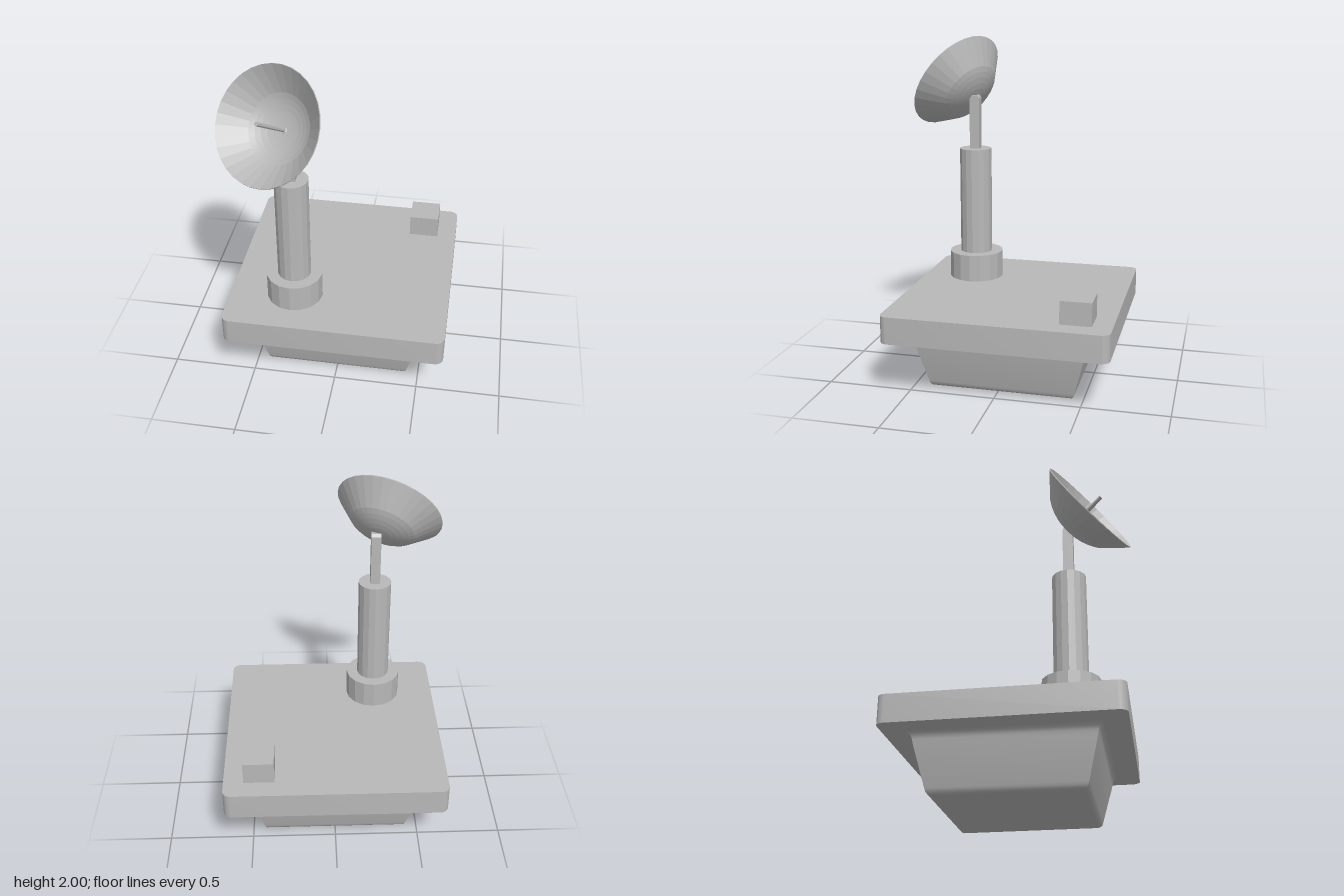
import * as THREE from 'three';
import { toCreasedNormals } from 'three/addons/utils/BufferGeometryUtils.js';

export function createModel() {
  const model = new THREE.Group();
  const grey = new THREE.MeshStandardMaterial({ color: 0xb8b8b8 });
  grey.name = 'plain grey';

  const add = (name, geometry, x, y, z, parent = model) => {
    const mesh = new THREE.Mesh(geometry, grey);
    mesh.name = name;
    mesh.position.set(x, y, z);
    parent.add(mesh);
    return mesh;
  };
  const points = (list) => list.map(([x, y]) => new THREE.Vector2(x, y));
  const flat = (geometry) => toCreasedNormals(geometry, 0.1);

  const slabZ = -0.022;

  // Platform slab with rounded vertical corners
  const h = 0.652, r = 0.05;
  const outline = new THREE.Shape();
  outline.absarc(h - r, h - r, r, 0, Math.PI / 2);
  outline.absarc(r - h, h - r, r, Math.PI / 2, Math.PI);
  outline.absarc(r - h, r - h, r, Math.PI, Math.PI * 1.5);
  outline.absarc(h - r, r - h, r, Math.PI * 1.5, Math.PI * 2);
  const slab = new THREE.ExtrudeGeometry(outline, { depth: 0.16, bevelEnabled: false, curveSegments: 6 });
  slab.rotateX(-Math.PI / 2);
  add('platform', toCreasedNormals(slab, 0.6), 0, 0.33, slabZ);

  // Tapered square hull: half-width profile swept round four sides
  const profile = points([
    [0, 0], [0.385, 0], [0.402, 0.003], [0.415, 0.01], [0.424, 0.021], [0.43, 0.04],
    [0.487, 0.265], [0.491, 0.29], [0.498, 0.309], [0.509, 0.321], [0.522, 0.328], [0.54, 0.331],
  ]);
  profile.forEach((p) => { p.x *= Math.SQRT2; });
  const hull = new THREE.LatheGeometry(profile, 4, Math.PI / 4);
  add('hull', toCreasedNormals(hull, 0.6), 0, 0, slabZ);

  // Small box on the back corner
  add('equipmentBox', new THREE.BoxGeometry(0.18, 0.135, 0.18), 0.445, 0.5575, -0.47);

  // Mast: collar, column and square post
  const mastX = -0.267, mastZ = 0.312;
  add('mastCollar', flat(new THREE.CylinderGeometry(0.167, 0.167, 0.165, 16)), mastX, 0.5725, mastZ);
  add('mastColumn', flat(new THREE.CylinderGeometry(0.099, 0.099, 0.655, 16)), mastX, 0.9825, mastZ);
  const post = new THREE.Shape(points([
    [-0.03, 0], [0.03, 0], [0.03, 0.315], [0.018, 0.332], [-0.018, 0.332], [-0.03, 0.315],
  ]));
  const postGeometry = new THREE.ExtrudeGeometry(post, { depth: 0.058, bevelEnabled: false });
  postGeometry.translate(0, 0, -0.029).rotateY(Math.PI / 2);
  add('mastPost', postGeometry, mastX, 1.308, mastZ);

  // Dish assembly, origin at the rim centre with its axis along local +y
  const dish = new THREE.Group();
  dish.name = 'dish';
  dish.position.set(-0.355, 1.72, 0.457);
  dish.quaternion.setFromUnitVectors(
    new THREE.Vector3(0, 1, 0), new THREE.Vector3(-0.38, 0.54, 0.755).normalize());
  model.add(dish);

  // Bowl: outer skin up to the rim, then inner skin back to the axis
  const bowl = new THREE.LatheGeometry(points([
    [0, -0.19], [0.035, -0.188], [0.07, -0.184], [0.105, -0.176], [0.14, -0.164],
    [0.17, -0.15], [0.2, -0.132], [0.265, -0.068], [0.33, -0.003],
    [0.328, 0.003], [0.26, -0.061], [0.195, -0.118], [0.165, -0.135],
    [0.135, -0.148], [0.1, -0.159], [0.065, -0.166], [0.035, -0.169], [0, -0.171],
  ]), 32);
  add('bowl', flat(bowl), 0, 0, 0, dish);

  // Feed rod along the dish axis
  add('feedRod', flat(new THREE.CylinderGeometry(0.0125, 0.0125, 0.265, 8)), 0, -0.0445, 0, dish);

  return model;
}
